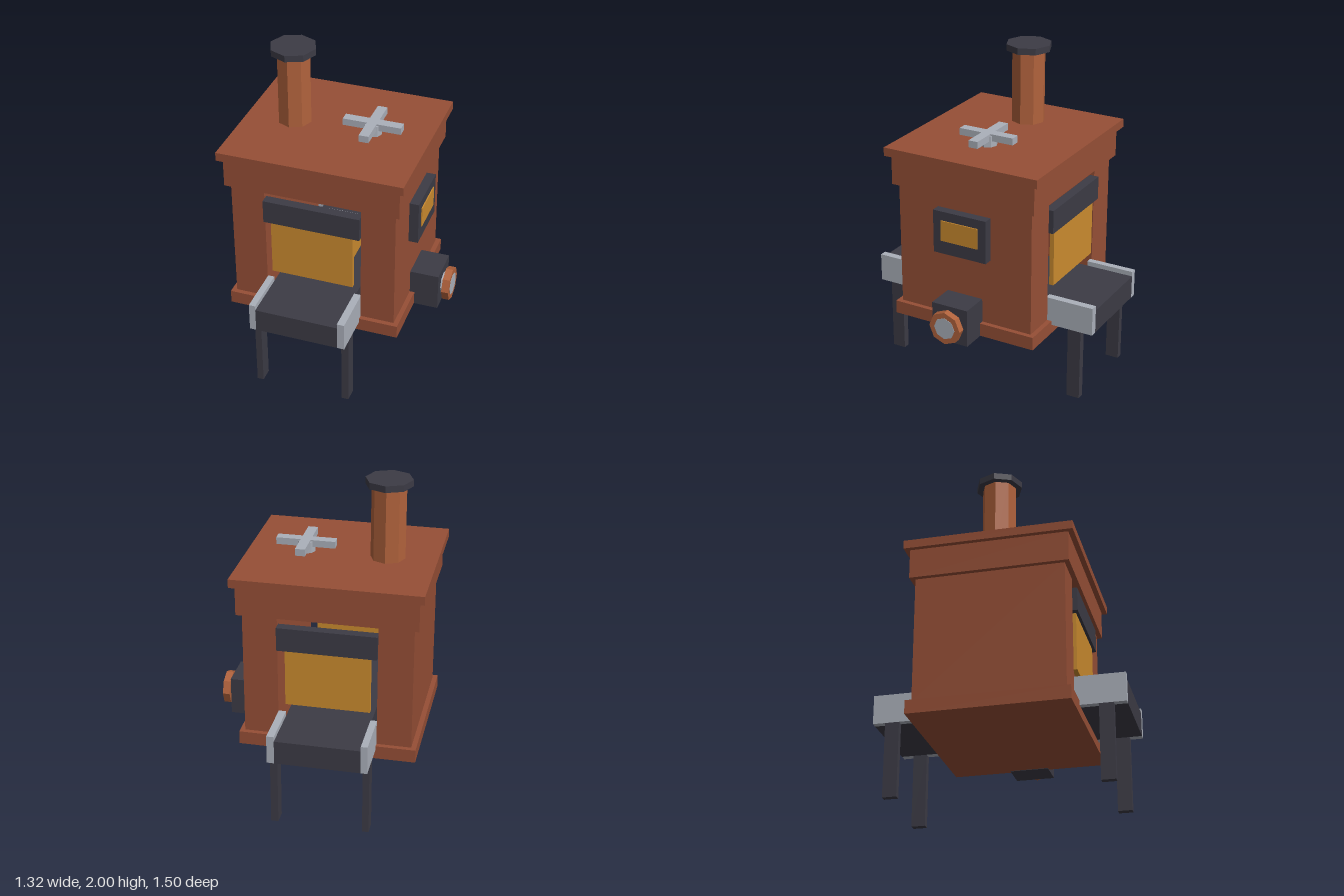
import * as THREE from 'three';

const material = (name, color) => {
  const m = new THREE.MeshStandardMaterial({ color, flatShading: true });
  m.name = name;
  return m;
};

export function createModel() {
  const brick = material('brick', 0x964f36);
  const copper = material('copper', 0xb0623c);
  const iron = material('dark iron', 0x3c3b45);
  const steel = material('light steel', 0xabb0ba);
  const amber = material('amber', 0xcb8b2f);
  const model = new THREE.Group();
  model.name = 'furnace';

  // Box given by its extents on each axis
  const box = (name, mat, [x0, x1], [y0, y1], [z0, z1]) => {
    const mesh = new THREE.Mesh(new THREE.BoxGeometry(x1 - x0, y1 - y0, z1 - z0), mat);
    mesh.position.set((x0 + x1) / 2, (y0 + y1) / 2, (z0 + z1) / 2);
    mesh.name = name;
    model.add(mesh);
  };
  // Eight-sided prism, upright or lying along x
  const prism = (name, mat, radius, length, x, y, sideways = false) => {
    const mesh = new THREE.Mesh(new THREE.CylinderGeometry(radius, radius, length, 8), mat);
    mesh.position.set(x, y, 0);
    if (sideways) mesh.rotation.z = -Math.PI / 2;
    mesh.name = name;
    model.add(mesh);
  };

  // Housing: a tunnel open at front and back
  box('base', brick, [-0.63, 0.45], [0.4, 0.483], [-0.48, 0.48]);
  box('rightWall', brick, [-0.6, -0.39], [0.483, 1.267], [-0.45, 0.45]);
  box('leftWall', brick, [0.21, 0.42], [0.483, 1.267], [-0.45, 0.45]);
  box('upperBlock', brick, [-0.63, 0.45], [1.267, 1.452], [-0.48, 0.48]);
  box('roofSlab', brick, [-0.66, 0.48], [1.452, 1.505], [-0.512, 0.512]);

  // Conveyor running through the tunnel
  box('conveyorBed', iron, [-0.35, 0.165], [0.457, 0.605], [-0.75, 0.75]);
  for (const [x0, x1] of [[-0.39, -0.35], [0.165, 0.21]]) {
    for (const s of [1, -1]) {
      const span = (a, b) => (s > 0 ? [a, b] : [-b, -a]);
      box('conveyorRail', steel, [x0, x1], [0.457, 0.635], span(0.44, 0.75));
      box('leg', iron, [x0, x1], [0, 0.457], span(0.59, 0.675));
    }
  }

  // Lintel and hanging shutter at both ends
  for (const s of [1, -1]) {
    const span = (a, b) => (s > 0 ? [a, b] : [-b, -a]);
    box('lintel', iron, [-0.39, 0.21], [1.06, 1.207], span(0.42, 0.48));
    box('shutter', amber, [-0.35, 0.163], [0.698, 1.06], span(0.435, 0.463));
  }

  // Glowing piece inside the tunnel
  box('glowingPiece', amber, [-0.23, 0.045], [0.635, 0.78], [-0.14, 0.14]);
  box('pieceCap', steel, [-0.19, 0.005], [0.78, 0.83], [-0.1, 0.1]);

  // Chimney
  prism('chimneyPipe', copper, 0.105, 0.455, -0.362, 1.7325);
  prism('chimneyCap', iron, 0.142, 0.04, -0.362, 1.98);

  // Cross handle on the roof
  prism('handleStem', steel, 0.055, 0.07, 0.132, 1.54);
  box('handleBar', steel, [-0.048, 0.312], [1.542, 1.585], [-0.03, 0.03]);
  for (const [z0, z1] of [[0.03, 0.18], [-0.18, -0.03]]) {
    box('handleArm', steel, [0.102, 0.162], [1.542, 1.585], [z0, z1]);
  }

  // Side window
  box('windowFrame', iron, [0.42, 0.478], [0.905, 1.177], [-0.178, 0.178]);
  box('windowPane', amber, [0.478, 0.485], [0.99, 1.12], [-0.124, 0.124]);

  // Motor box with hand wheel
  box('motorBox', iron, [0.42, 0.6], [0.397, 0.635], [-0.12, 0.12]);
  prism('wheelHub', steel, 0.07, 0.062, 0.631, 0.516, true);
  prism('handWheel', copper, 0.105, 0.044, 0.638, 0.516, true);

  return model;
}
